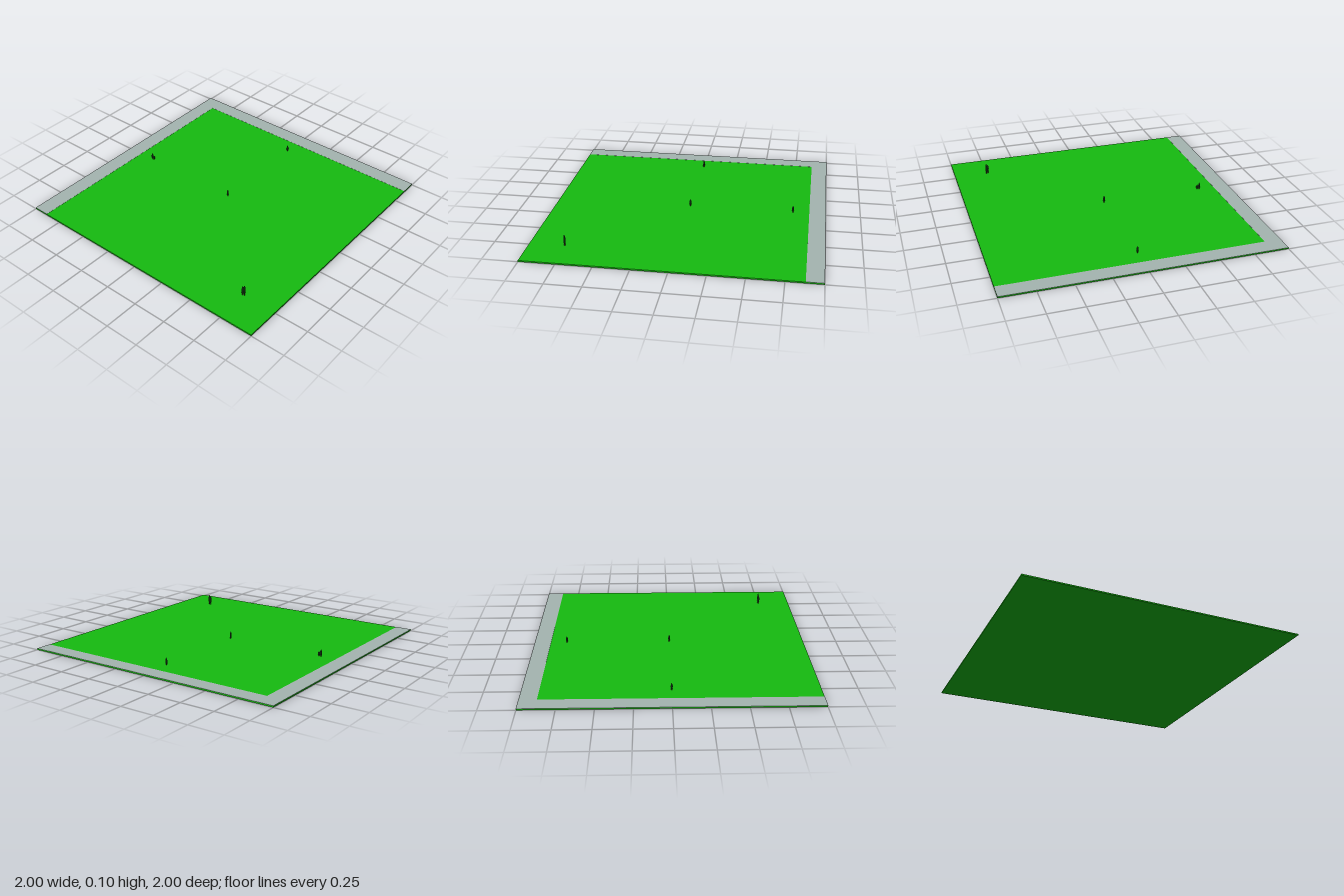
import * as THREE from 'three';

const material = (color, flatShading = false) => new THREE.MeshStandardMaterial({ color, flatShading });

export function createModel() {
  const model = new THREE.Group();
  const grass = material(0x16bc10);
  const paving = material(0xa5b5b1);
  const foliage = material(0x1c4a1c, true);
  const bark = material(0x3c3420, true);

  const addBox = (name, size, position, mat) => {
    const mesh = new THREE.Mesh(new THREE.BoxGeometry(...size), mat);
    mesh.name = name;
    mesh.position.set(...position);
    model.add(mesh);
  };

  // Thin lawn slab with paving along its back and right-hand edges
  const top = 0.01;
  addBox('lawn', [2, top, 2], [0, top / 2, 0], grass);
  addBox('backPath', [2, 0.001, 0.12], [0, top + 0.0005, -0.94], paving);
  addBox('sidePath', [0.12, 0.001, 1.88], [-0.94, top + 0.0005, 0.06], paving);

  // Slim columnar tree: short trunk and a tapering crown
  const crownProfile = [[0, 0.15], [0.006, 0.2], [0.0075, 0.5], [0.0055, 0.8], [0, 1]];
  const addTree = (x, z, height) => {
    const tree = new THREE.Group();
    tree.name = 'tree';
    const trunk = new THREE.Mesh(new THREE.CylinderGeometry(0.003, 0.004, height * 0.3, 6), bark);
    trunk.name = 'trunk';
    trunk.position.y = height * 0.15;
    const points = crownProfile.map(([r, t]) => new THREE.Vector2(r, t * height));
    const crown = new THREE.Mesh(new THREE.LatheGeometry(points, 7), foliage);
    crown.name = 'crown';
    tree.add(trunk, crown);
    tree.position.set(x, top, z);
    model.add(tree);
  };

  // Single trees and pairs: x, z, height
  [
    [0.003, 0, 0.055],
    [0.003, -0.76, 0.052],
    [-0.763, 0, 0.051],
    [-0.747, 0.001, 0.036],
    [0.752, 0.752, 0.086],
    [0.74, 0.755, 0.074],
  ].forEach((t) => addTree(...t));

  return model;
}
